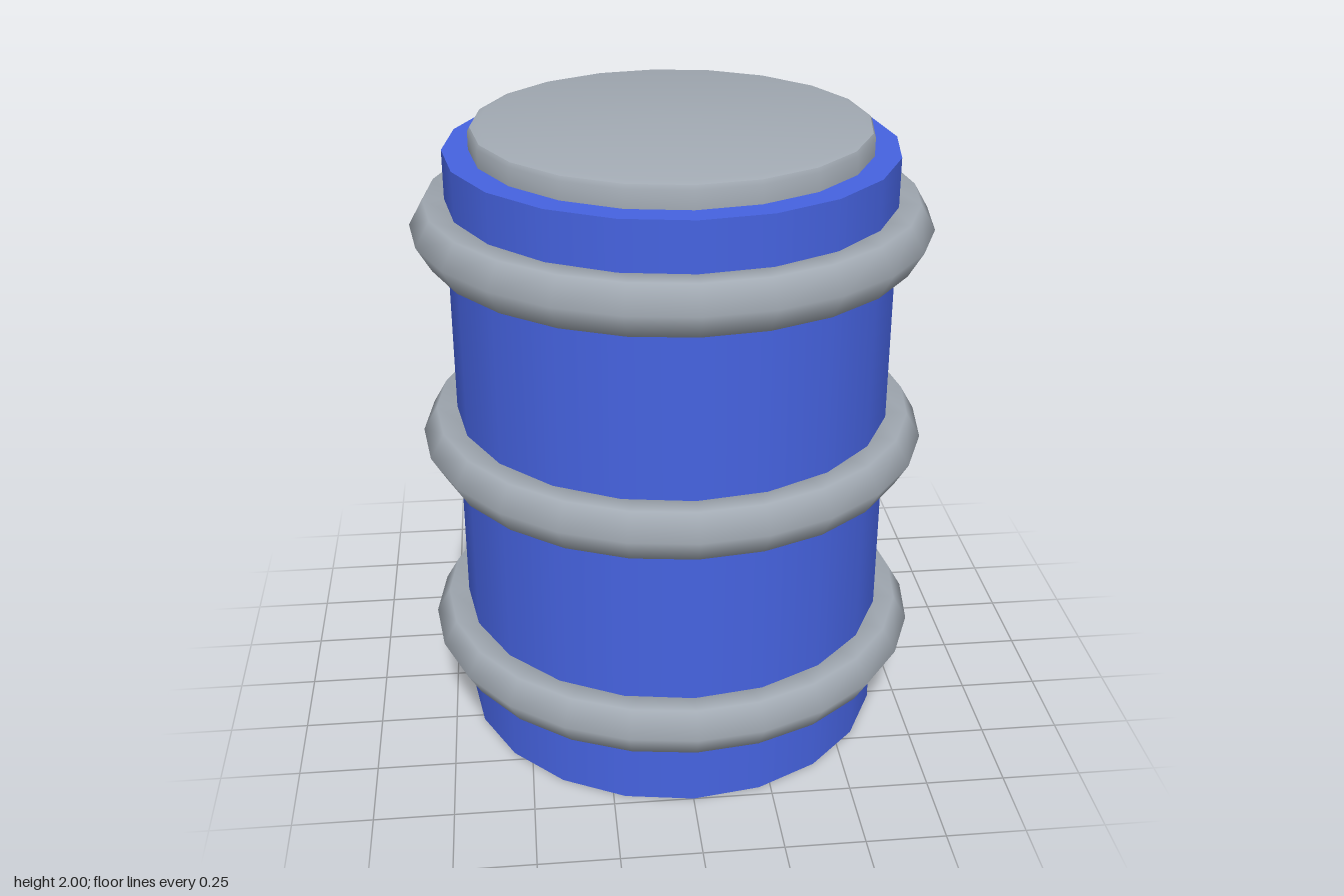
import * as THREE from 'three';
import { toCreasedNormals } from 'three/addons/utils/BufferGeometryUtils.js';
import { RoundedBoxGeometry } from 'three/addons/geometries/RoundedBoxGeometry.js';

export function createModel() {
  const model = new THREE.Group();
  model.name = 'barrel';
  const blue = new THREE.MeshStandardMaterial({ color: 0x4663e0 });
  blue.name = 'blue paint';
  const grey = new THREE.MeshStandardMaterial({ color: 0xa2aab3 });
  grey.name = 'grey metal';

  const add = (name, geometry, material, x, y, z) => {
    const mesh = new THREE.Mesh(geometry, material);
    mesh.name = name;
    mesh.position.set(x, y, z);
    model.add(mesh);
  };

  const axisZ = 0.06; // the drum sits forward to make room for the tap

  // Drum body
  const height = 1.925;
  add('body', new THREE.CylinderGeometry(0.69, 0.69, height, 20), blue, 0, height / 2, axisZ);

  // Hoops with a six-sided section
  const hoop = new THREE.TorusGeometry(0.71, 0.09, 6, 24).rotateX(Math.PI / 2);
  [['lowerHoop', 0.31], ['middleHoop', 1.0], ['upperHoop', 1.695]].forEach(([name, y]) =>
    add(name, hoop, grey, 0, y, axisZ));

  // Lid with a softened rim
  const profile = [[0.61, 0], [0.61, 0.055], [0.603, 0.068], [0.58, 0.075], [0, 0.075]]
    .map(([r, y]) => new THREE.Vector2(r, y));
  const lid = toCreasedNormals(new THREE.LatheGeometry(profile, 20), 0.75);
  add('lid', lid, grey, 0, height, axisZ);

  // Tap block at the back
  add('tap', new RoundedBoxGeometry(0.23, 0.22, 0.3, 2, 0.022), grey, 0, 0.465, -0.71);

  return model;
}
